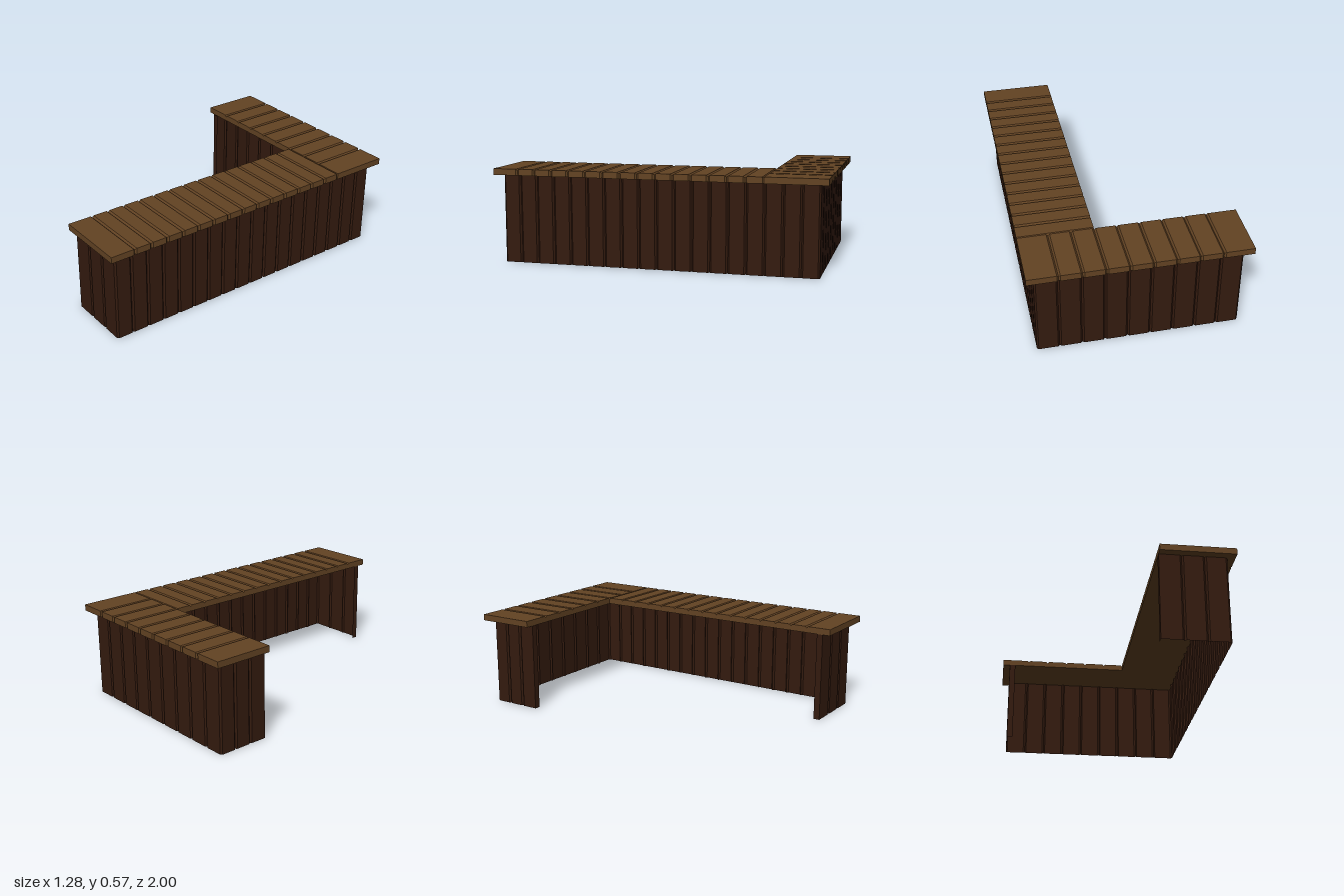
import * as THREE from 'three';
import { ConvexGeometry } from 'three/addons/geometries/ConvexGeometry.js';

const WALL_X = 0.596, WALL_Z = 0.953;     // outer faces of the plank walls
const TOP_X = 0.642, TOP_Z = 1;           // outer edges of the countertop
const Y0 = 0.535, Y1 = 0.573;             // countertop underside and surface
const SPLIT = -0.639;                     // where the two countertop arms meet
const STEP_X = (2 * WALL_X) / 9, STEP_Z = (2 * WALL_Z) / 18;
const C = 0.01;                           // groove half width and depth
const LIP = 0.038;                        // returned edge at the free wall ends

const xAt = (i) => -WALL_X + i * STEP_X;
const zAt = (i) => -WALL_Z + i * STEP_Z;

// Ground line of n planks with V grooves folded inwards between them;
// trim0 and trim1 shorten the ends to leave room for a chamfered corner.
function plankLine(start, end, n, trim0, trim1) {
  const dir = end.clone().sub(start).normalize();
  const inward = new THREE.Vector2(dir.y, -dir.x);
  const points = [start.clone().addScaledVector(dir, trim0)];
  for (let i = 1; i < n; i++) {
    const joint = start.clone().lerp(end, i / n);
    points.push(
      joint.clone().addScaledVector(dir, -C),
      joint.clone().addScaledVector(inward, C),
      joint.clone().addScaledVector(dir, C));
  }
  points.push(end.clone().addScaledVector(dir, -trim1));
  return points;
}

// Upright sheet standing on a ground line, flat shaded
function sheet(line) {
  const pos = [];
  for (let i = 0; i + 1 < line.length; i++) {
    const { x: ax, y: az } = line[i], { x: bx, y: bz } = line[i + 1];
    pos.push(ax, 0, az, bx, 0, bz, bx, Y0, bz, ax, 0, az, bx, Y0, bz, ax, Y0, az);
  }
  const geo = new THREE.BufferGeometry();
  geo.setAttribute('position', new THREE.Float32BufferAttribute(pos, 3));
  geo.computeVertexNormals();
  return geo;
}

// Countertop plank: u runs across the planks, v along them towards the outer edge.
// c0 and c1 chamfer the two long sides, and the outer end beside them.
function topPlank(u0, u1, v0, v1, c0, c1, place) {
  const out = v1 - Math.sign(v1 - v0) * C;
  const pts = [];
  for (const y of [Y0, Y1 - C]) {
    for (const [u, v] of [[u0, v0], [u1, v0], [u0, out], [u1, out], [u0 + c0, v1], [u1 - c1, v1]]) {
      pts.push(place(u, y, v));
    }
  }
  for (const u of [u0 + c0, u1 - c1]) for (const v of [v0, v1]) pts.push(place(u, Y1, v));
  return new ConvexGeometry(pts);
}

export function createModel() {
  const model = new THREE.Group();
  const wallMat = new THREE.MeshStandardMaterial({ color: 0x341b0f, side: THREE.DoubleSide });
  const topMat = new THREE.MeshStandardMaterial({ color: 0x634323 });

  // Walls: one folded sheet running round the outside, from free end to free end
  const P = (x, z) => new THREE.Vector2(x, z);
  const frontEnd = P(xAt(6), WALL_Z), frontCorner = P(WALL_X, WALL_Z);
  const backCorner = P(WALL_X, -WALL_Z), farCorner = P(-WALL_X, -WALL_Z), backEnd = P(-WALL_X, zAt(3));
  const walls = [
    ['frontEndWall', plankLine(frontEnd, frontCorner, 3, 0, C)],
    ['sideWall', plankLine(frontCorner, backCorner, 18, C, C)],
    ['backWall', plankLine(backCorner, farCorner, 9, C, C)],
    ['backEndWall', plankLine(farCorner, backEnd, 3, C, 0)],
  ];
  walls[3][1].push(P(backEnd.x + LIP, backEnd.y));
  let previous = P(frontEnd.x, frontEnd.y - LIP);
  for (const [name, line] of walls) {
    const mesh = new THREE.Mesh(sheet([previous, ...line]), wallMat);
    mesh.name = name;
    model.add(mesh);
    previous = line[line.length - 1];
  }

  const addTop = (name, count, makePlank) => {
    const group = new THREE.Group();
    group.name = name;
    for (let i = 0; i < count; i++) {
      const mesh = new THREE.Mesh(makePlank(i), topMat);
      mesh.name = `${name}Plank${i + 1}`;
      group.add(mesh);
    }
    model.add(group);
  };

  // Countertop along the back: planks run front to back, wider at both ends
  addTop('backCountertop', 9, (i) => topPlank(
    i === 0 ? -TOP_X : xAt(i), i === 8 ? TOP_X : xAt(i + 1), SPLIT, -TOP_Z,
    i === 0 ? 0 : C, i === 8 ? 0 : C, (u, y, v) => new THREE.Vector3(u, y, v)));

  // Countertop along the side: planks run across, wider at the front end
  addTop('sideCountertop', 15, (i) => topPlank(
    i === 0 ? SPLIT : zAt(i + 3), i === 14 ? TOP_Z : zAt(i + 4), 0.198, TOP_X,
    C, i === 14 ? 0 : C, (u, y, v) => new THREE.Vector3(v, y, u)));

  return model;
}
